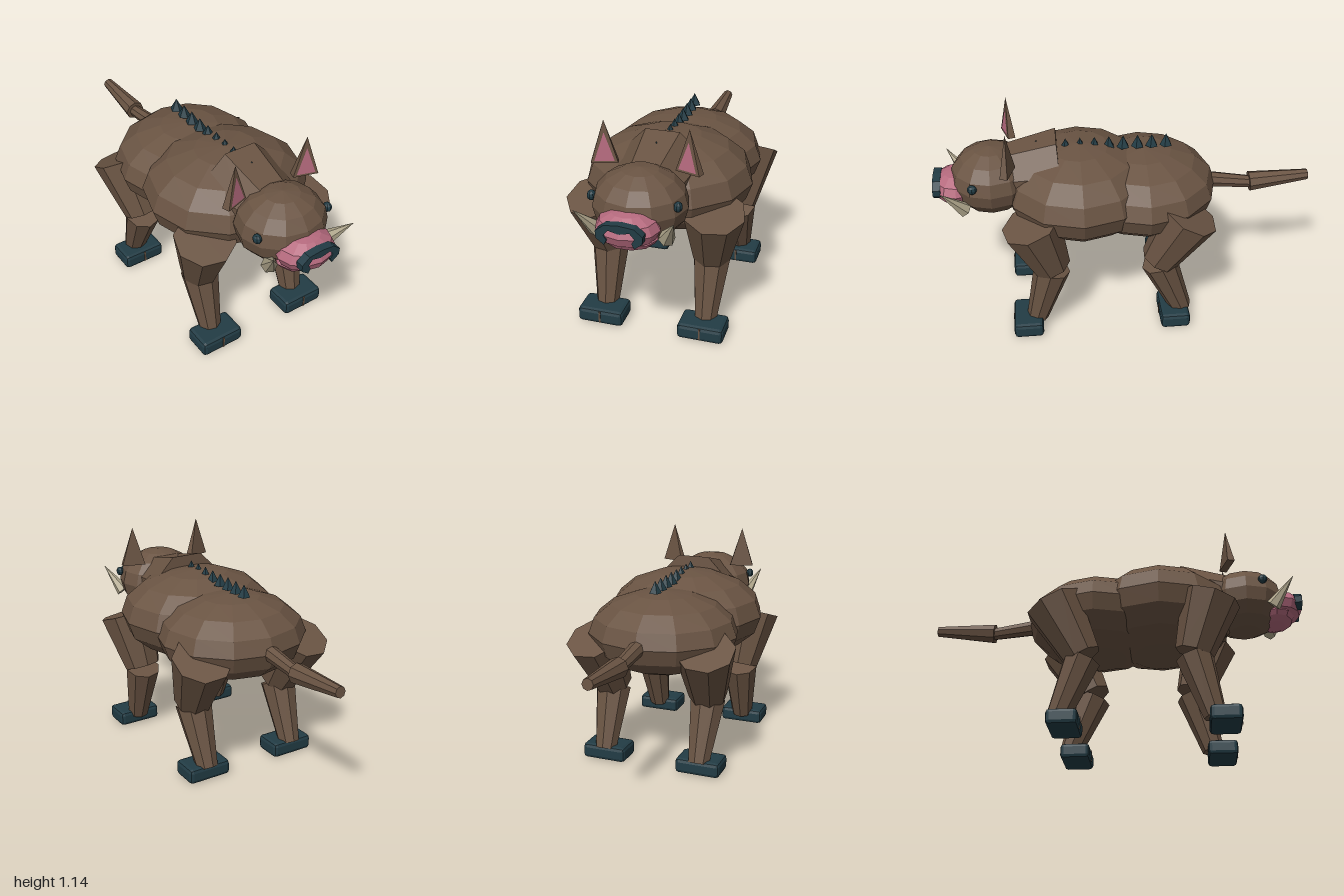
import * as THREE from 'three';
import { RoundedBoxGeometry } from 'three/addons/geometries/RoundedBoxGeometry.js';

const mat = (name, color, side = THREE.FrontSide) => {
  const m = new THREE.MeshStandardMaterial({ color, flatShading: true, side });
  m.name = name;
  return m;
};

export function createModel() {
  const hide = mat('brownHide', 0x6a5443);
  const pink = mat('pinkSkin', 0xb56a7e);
  const dark = mat('darkHorn', 0x223c45);
  const ivory = mat('ivory', 0xb3a98e);

  const model = new THREE.Group();
  model.name = 'boar';
  const V = (x, y, z) => new THREE.Vector3(x, y, z);

  const add = (name, geometry, material, pos = [0, 0, 0], parent = model) => {
    const mesh = new THREE.Mesh(geometry, material);
    mesh.name = name;
    mesh.position.set(...pos);
    parent.add(mesh);
    return mesh;
  };
  const ellipsoid = (name, material, pos, radii, w = 12, h = 8) =>
    add(name, new THREE.SphereGeometry(1, w, h).scale(...radii), material, pos);

  // Tapered prism running from point a (radius ra) to point b (radius rb)
  const limb = (name, material, a, b, ra, rb, sides = 8, spin = 0) => {
    const dir = b.clone().sub(a);
    const geo = new THREE.CylinderGeometry(rb, ra, dir.length(), sides).rotateY(spin);
    const mesh = add(name, geo, material, a.clone().add(b).multiplyScalar(0.5).toArray());
    mesh.quaternion.setFromUnitVectors(V(0, 1, 0), dir.normalize());
    return mesh;
  };

  // Body, neck and head
  ellipsoid('chest', hide, [0, 0.725, 0.235], [0.43, 0.24, 0.4]);
  ellipsoid('hindquarters', hide, [0, 0.7, -0.1], [0.4, 0.217, 0.387]);
  limb('neck', hide, V(0, 0.8, 0.335), V(0, 0.78, 0.6), 0.228, 0.18, 8, Math.PI / 8);
  ellipsoid('head', hide, [0, 0.795, 0.69], [0.23, 0.177, 0.215]);

  // Snout, lower jaw and nose rim
  ellipsoid('snout', pink, [0, 0.76, 0.87], [0.152, 0.086, 0.13], 12, 6);
  ellipsoid('lowerJaw', pink, [0, 0.702, 0.85], [0.135, 0.048, 0.105], 10, 6);
  const rim = new THREE.Shape([
    [-0.07, 0.72], [-0.108, 0.75], [-0.11, 0.785], [-0.07, 0.818], [0, 0.825], [0.07, 0.818],
    [0.11, 0.785], [0.108, 0.75], [0.07, 0.72], [0.058, 0.745], [0.072, 0.768], [0.05, 0.795],
    [0, 0.782], [-0.05, 0.795], [-0.072, 0.768], [-0.058, 0.745],
  ].map(([x, y]) => new THREE.Vector2(x, y)));
  add('noseRim', new THREE.ExtrudeGeometry(rim, { depth: 0.04, bevelEnabled: false }),
    dark, [0, 0, 0.95]);

  // Triangular inner-ear plate
  const innerEar = new THREE.ShapeGeometry(new THREE.Shape([
    new THREE.Vector2(-0.048, 0), new THREE.Vector2(0.048, 0), new THREE.Vector2(0, 0.14)]));

  for (const s of [1, -1]) {
    const side = s > 0 ? 'left' : 'right';

    // Eyes and tusks
    ellipsoid(side + 'Eye', dark, [s * 0.207, 0.842, 0.78], [0.021, 0.025, 0.025], 8, 6);
    limb(side + 'Tusk', ivory, V(s * 0.168, 0.702, 0.83), V(s * 0.233, 0.838, 0.935),
      0.04, 0.001, 6);

    // Ears: flat pyramids turned slightly inwards
    const ear = new THREE.Group();
    ear.name = side + 'Ear';
    ear.position.set(s * 0.207, 0.928, 0.598);
    ear.rotation.y = -s * 0.3;
    model.add(ear);
    const shell = new THREE.ConeGeometry(Math.SQRT1_2, 1, 4).rotateY(Math.PI / 4)
      .scale(0.13, 0.212, 0.04).translate(0, 0.106, 0);
    add('earShell', shell, hide, [0, 0, 0], ear);
    const inner = add('innerEar', innerEar, pink, [0, 0.012, 0.0215], ear);
    inner.rotation.x = -Math.atan(0.02 / 0.212);

    // Legs: z positions of hip, knee, ankle and hoof
    for (const [end, hip, knee, ankle, hoof] of [
      ['Front', 0.5, 0.405, 0.495, 0.545], ['Hind', -0.31, -0.16, -0.285, -0.245]]) {
      const leg = side + end;
      limb(leg + 'UpperLeg', hide, V(s * 0.302, 0.685, hip), V(s * 0.27, 0.395, knee),
        0.155, 0.1, 8);
      limb(leg + 'LowerLeg', hide, V(s * 0.27, 0.378, knee), V(s * 0.265, 0.06, ankle),
        0.097, 0.058, 8);
      add(leg + 'Hoof', new RoundedBoxGeometry(0.24, 0.082, 0.157, 1, 0.02), dark,
        [s * 0.265, 0.042, hoof]);
      add(leg + 'HoofCleft', new THREE.BoxGeometry(0.009, 0.062, 0.006), hide,
        [s * 0.265, 0.045, hoof + 0.078]);
    }
  }

  // Row of bristles along the back
  for (let i = 0; i < 10; i++) {
    add('bristle', new THREE.ConeGeometry(0.034, 0.064, 5), dark, [0, 0.961, -0.22 + i * 0.0745]);
  }

  // Two-piece tail
  limb('tailBase', hide, V(0, 0.705, -0.44), V(0, 0.672, -0.69), 0.043, 0.033, 8);
  limb('tailTip', hide, V(0, 0.675, -0.678), V(0, 0.7, -0.998), 0.054, 0.029, 8);

  return model;
}
